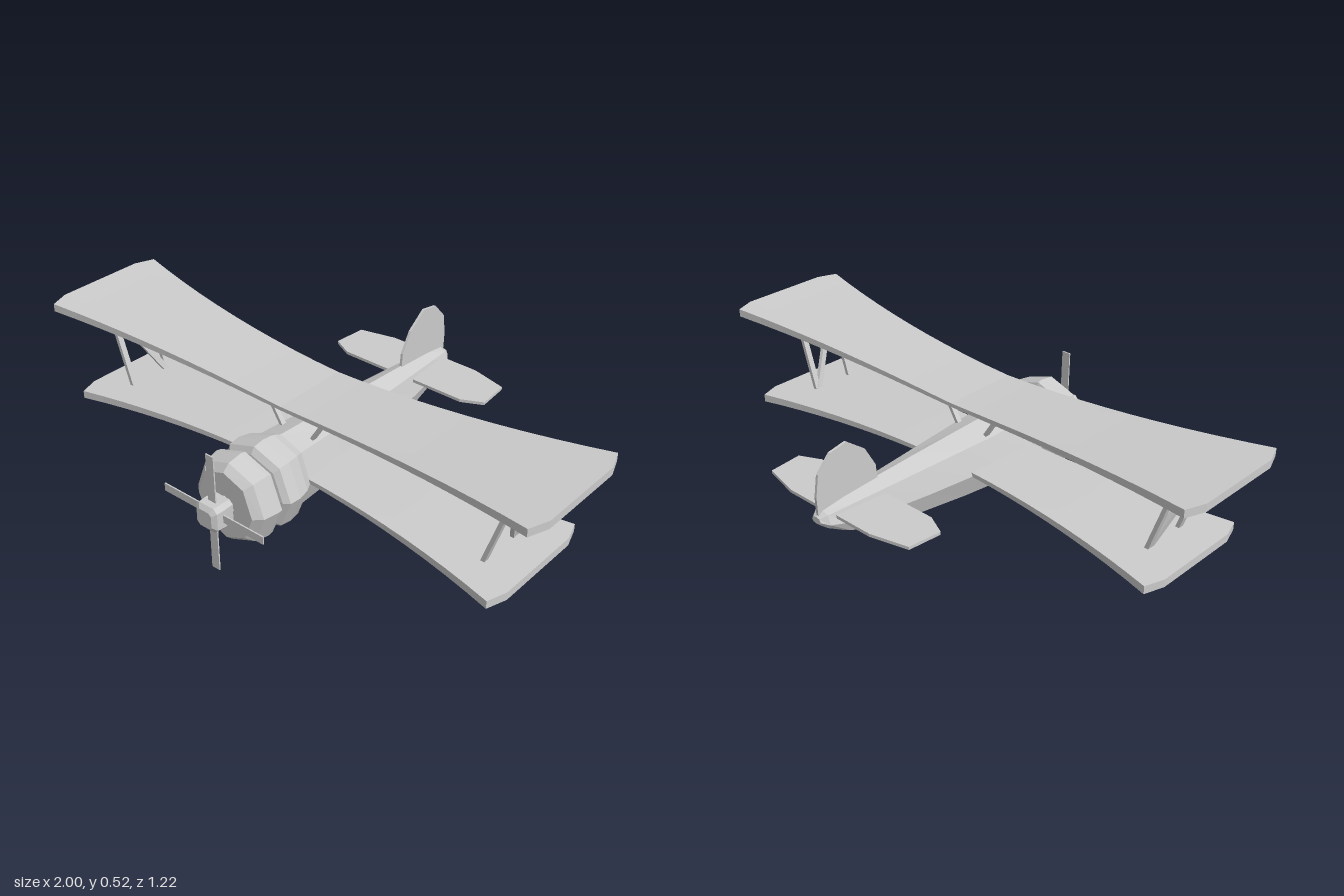
import * as THREE from 'three';

const metal = new THREE.MeshStandardMaterial({ color: 0xcccccc, flatShading: true });

function add(parent, name, geometry) {
  const mesh = new THREE.Mesh(geometry, metal);
  mesh.name = name;
  parent.add(mesh);
  return mesh;
}

// Skin over rings ordered from front to back, each counter-clockwise seen from the front
function loft(rings) {
  const n = rings[0].length, index = [];
  for (let i = 0; i < rings.length - 1; i++) {
    for (let j = 0; j < n; j++) {
      const a = i * n + j, b = i * n + (j + 1) % n;
      index.push(a, a + n, b, b, a + n, b + n);
    }
  }
  const last = (rings.length - 1) * n;
  for (let j = 1; j < n - 1; j++) {
    index.push(0, j, j + 1, last, last + j + 1, last + j);
  }
  const g = new THREE.BufferGeometry();
  g.setAttribute('position', new THREE.Float32BufferAttribute(rings.flat(2), 3));
  g.setIndex(index);
  g.computeVertexNormals();
  return g;
}

// Eight-sided body section: z, top, side height, bottom, half width
function section([z, top, mid, bottom, w]) {
  const d = Math.SQRT1_2, up = top - mid, down = mid - bottom;
  return [
    [w, mid, z], [w * d, mid + up * 0.76, z], [0, top, z], [-w * d, mid + up * 0.76, z],
    [-w, mid, z], [-w * d, mid - down * d, z], [0, bottom, z], [w * d, mid - down * d, z],
  ];
}

// Square hub section with cut corners
function hubSection([z, r]) {
  const c = r * 0.68, y = 0.215;
  return [[r, -c], [r, c], [c, r], [-c, r], [-r, c], [-r, -c], [-c, -r], [c, -r]]
    .map(([px, py]) => [px, y + py, z]);
}

// Wing: a box reshaped so chord, height and thickness grow towards the tips
function wing(span, rootY, tipY) {
  const g = new THREE.BoxGeometry(2, 1, 2, 20, 1, 3);
  const p = g.attributes.position;
  for (let i = 0; i < p.count; i++) {
    const s = p.getX(i), a = Math.abs(s);
    let u = p.getZ(i);
    const edge = Math.abs(u) > 0.9;
    if (!edge) u = Math.sign(u) * 0.7;
    const chord = 0.14 + 0.094 * Math.pow(a, 2.1);
    const thick = 0.013 + 0.015 * a;
    const y = rootY + (tipY - rootY) * Math.pow(a, 1.35);
    p.setXYZ(i, s * span * (edge ? 1 - 0.026 * a : 1), y + p.getY(i) * thick, 0.121 + u * chord);
  }
  g.computeVertexNormals();
  return g;
}

// Flat plate from an outline, centred on its thickness
function plate(points, depth) {
  const shape = new THREE.Shape(points.map(([a, b]) => new THREE.Vector2(a, b)));
  return new THREE.ExtrudeGeometry(shape, { depth, bevelEnabled: false }).translate(0, 0, -depth / 2);
}

// Rectangular bar between two points
function strut(parent, name, from, to, width, depth) {
  const a = new THREE.Vector3(...from), b = new THREE.Vector3(...to);
  const mesh = add(parent, name, new THREE.BoxGeometry(width, a.distanceTo(b), depth));
  const yAxis = b.clone().sub(a).normalize();
  const zAxis = new THREE.Vector3(1, 0, 0).cross(yAxis).normalize();
  const xAxis = yAxis.clone().cross(zAxis);
  mesh.quaternion.setFromRotationMatrix(new THREE.Matrix4().makeBasis(xAxis, yAxis, zAxis));
  mesh.position.copy(a).add(b).multiplyScalar(0.5);
}

export function createModel() {
  const plane = new THREE.Group();
  plane.name = 'biplane';

  // Engine cowling
  add(plane, 'cowling', loft([
    [0.52, 0.338, 0.215, 0.092, 0.115],
    [0.495, 0.362, 0.215, 0.07, 0.143],
    [0.44, 0.37, 0.215, 0.06, 0.152],
    [0.422, 0.366, 0.215, 0.064, 0.15],
    [0.405, 0.325, 0.215, 0.105, 0.11],
    [0.38, 0.325, 0.215, 0.105, 0.11],
  ].map(section)));

  // Fuselage with its flared front collar
  add(plane, 'fuselage', loft([
    [0.4, 0.325, 0.215, 0.105, 0.115],
    [0.397, 0.342, 0.215, 0.085, 0.13],
    [0.382, 0.364, 0.215, 0.066, 0.15],
    [0.34, 0.37, 0.215, 0.06, 0.153],
    [0.295, 0.364, 0.215, 0.063, 0.142],
    [0.26, 0.349, 0.215, 0.08, 0.122],
    [0.09, 0.342, 0.215, 0.089, 0.112],
    [-0.02, 0.338, 0.216, 0.096, 0.1],
    [-0.2, 0.331, 0.219, 0.117, 0.081],
    [-0.37, 0.323, 0.227, 0.145, 0.063],
    [-0.5, 0.315, 0.243, 0.19, 0.05],
    [-0.583, 0.304, 0.264, 0.243, 0.039],
    [-0.606, 0.288, 0.274, 0.264, 0.02],
  ].map(section)));

  // Propeller
  const propeller = new THREE.Group();
  propeller.name = 'propeller';
  plane.add(propeller);
  add(propeller, 'hub', loft([
    [0.61, 0.03], [0.598, 0.045], [0.565, 0.047], [0.527, 0.042],
  ].map(hubSection)));
  add(propeller, 'shaft', new THREE.CylinderGeometry(0.038, 0.038, 0.04, 8)
    .rotateX(Math.PI / 2).translate(0, 0.215, 0.52));
  add(propeller, 'uprightBlades', new THREE.BoxGeometry(0.032, 0.43, 0.005).translate(0, 0.215, 0.572));
  add(propeller, 'levelBlades', new THREE.BoxGeometry(0.424, 0.028, 0.005).translate(0, 0.217, 0.572));

  // Wings
  add(plane, 'upperWing', wing(1, 0.446, 0.503));
  add(plane, 'lowerWing', wing(0.89, 0.224, 0.193));

  // Struts, mirrored left and right
  for (const s of [1, -1]) {
    const side = s > 0 ? 'left' : 'right';
    for (const z of [0.212, 0.052]) {
      strut(plane, side + 'WingStrut', [s * 0.755, 0.2, z], [s * 0.847, 0.485, z], 0.014, 0.021);
    }
    strut(plane, side + 'DiagonalStrut', [s * 0.755, 0.2, 0.052], [s * 0.847, 0.485, 0.212], 0.014, 0.021);
    for (const z of [0.18, 0.085]) {
      strut(plane, side + 'CabinStrut', [s * 0.06, 0.312, z], [s * 0.145, 0.447, z], 0.012, 0.018);
    }
  }

  // Tail plane, outlined as x and z
  const half = [[0.25, -0.363], [0.325, -0.4], [0.314, -0.522], [0.18, -0.555]];
  const outline = [...half, ...half.map(([x, z]) => [-x, z]).reverse()];
  add(plane, 'tailPlane', plate(outline.map(([x, z]) => [x, -z]), 0.011)
    .rotateX(-Math.PI / 2).translate(0, 0.28, 0));

  // Fin, outlined as distance back and height
  add(plane, 'fin', plate([
    [0.352, 0.29], [0.6, 0.28], [0.604, 0.355], [0.593, 0.43],
    [0.542, 0.486], [0.476, 0.498], [0.402, 0.443], [0.36, 0.37],
  ], 0.009).rotateY(Math.PI / 2));

  return plane;
}
